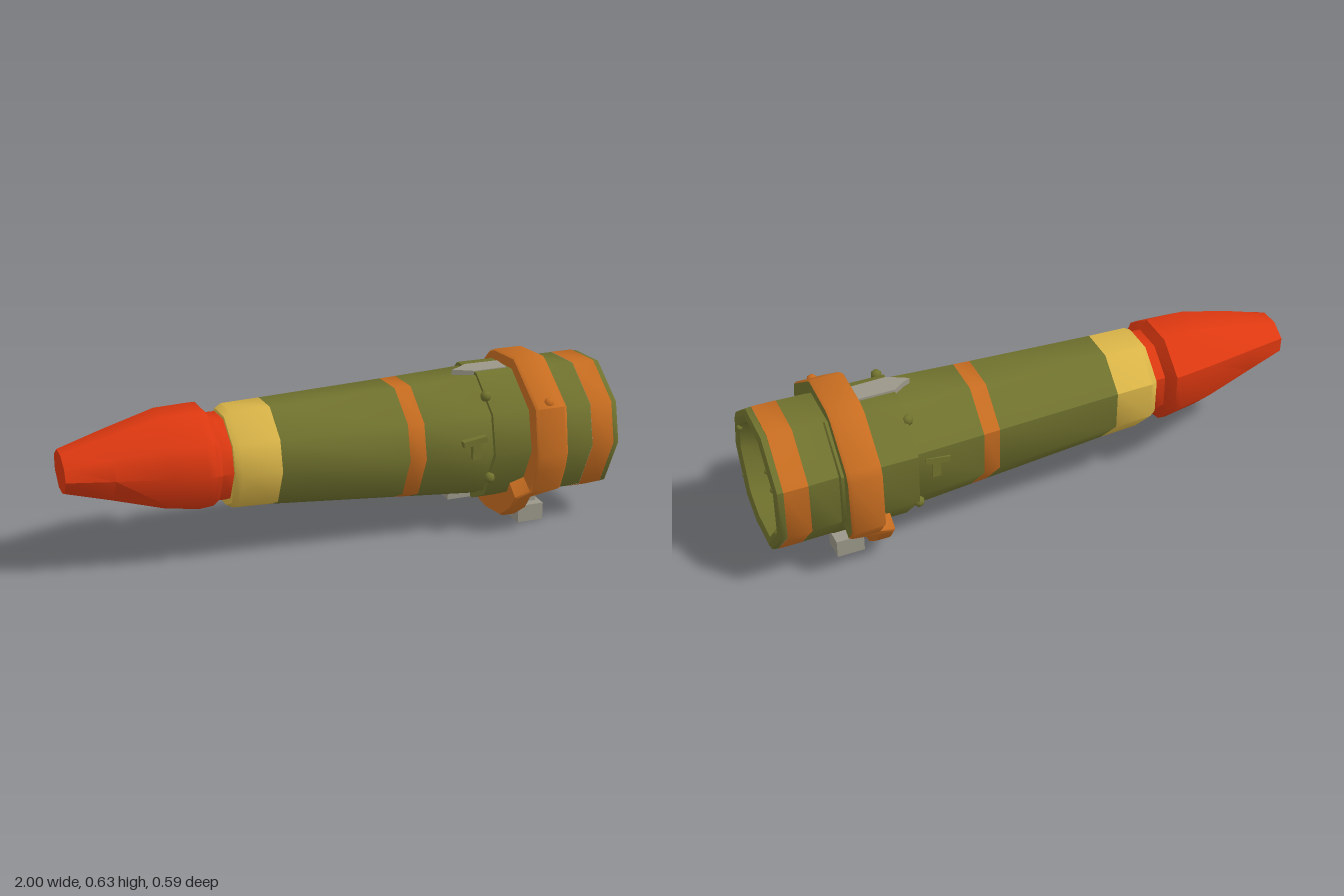
import * as THREE from 'three';
import { mergeVertices, toCreasedNormals } from 'three/addons/utils/BufferGeometryUtils.js';

const mat = (name, color) => {
  const m = new THREE.MeshStandardMaterial({ color });
  m.name = name;
  return m;
};

// Irregular nine-sided cross-section as [z, y], clockwise seen from +x
const SECTION = [[0.064, 0.585], [-0.105, 0.575], [-0.24, 0.44], [-0.235, 0.25], [-0.09, 0.094],
  [0.06, 0.098], [0.165, 0.15], [0.25, 0.33], [0.215, 0.475]];

// Section fitted to the given bounds at x
function ring(x, bottom, top, zMin, zMax) {
  return SECTION.map(([z, y]) => [x,
    bottom + (y - 0.094) / 0.491 * (top - bottom),
    zMin + (z + 0.24) / 0.49 * (zMax - zMin)]);
}

// Skin joining successive rings
function loft(rings, crease = 0.8) {
  const n = rings[0].length, index = [];
  for (let i = 0; i < rings.length - 1; i++) {
    for (let j = 0; j < n; j++) {
      const a = i * n + j, b = i * n + (j + 1) % n;
      index.push(a, a + n, b, b, a + n, b + n);
    }
  }
  const g = new THREE.BufferGeometry();
  g.setAttribute('position', new THREE.Float32BufferAttribute(rings.flat(2), 3));
  g.setIndex(index);
  return toCreasedNormals(mergeVertices(g), crease);
}

export function createModel() {
  const group = new THREE.Group();
  const olive = mat('olive', 0x70722e), orange = mat('orange', 0xc66c20), red = mat('red', 0xdc3810),
    yellow = mat('yellow', 0xd8b347), grey = mat('grey', 0x9a9688);

  const add = (name, geometry, material, x = 0, y = 0, z = 0) => {
    const m = new THREE.Mesh(geometry, material);
    m.name = name;
    m.position.set(x, y, z);
    group.add(m);
    return m;
  };
  const shell = (name, material, ...rows) => add(name, loft(rows.map(r => ring(...r))), material);

  // Red nose with a narrow neck
  shell('nose', red,
    [-1, 0.39, 0.39, 0, 0], [-1, 0.32, 0.46, -0.1, 0.1], [-0.84, 0.275, 0.505, -0.145, 0.14],
    [-0.65, 0.215, 0.553, -0.193, 0.168], [-0.53, 0.197, 0.556, -0.205, 0.18],
    [-0.5, 0.2, 0.555, -0.207, 0.178], [-0.475, 0.22, 0.52, -0.165, 0.155], [-0.43, 0.22, 0.52, -0.165, 0.155]);

  // Tapered barrel with painted bands
  const b1 = [-0.27, 0.18, 0.547, -0.195, 0.178], b2 = [0.19, 0.143, 0.563, -0.216, 0.202],
    b3 = [0.25, 0.138, 0.565, -0.219, 0.206];
  shell('yellowBand', yellow, [-0.44, 0.24, 0.5, -0.14, 0.13], [-0.435, 0.2, 0.53, -0.175, 0.165],
    [-0.41, 0.186, 0.543, -0.19, 0.174], b1);
  shell('barrelFront', olive, b1, b2);
  shell('barrelStripe', orange, b2, b3);
  shell('barrelRear', olive, b3, [0.5, 0.118, 0.576, -0.232, 0.222]);

  // Collar and end sleeve
  shell('collar', olive, [0.5, 0.15, 0.55, -0.2, 0.19], [0.5, 0.1, 0.588, -0.25, 0.24],
    [0.77, 0.1, 0.588, -0.25, 0.24], [0.775, 0.097, 0.587, -0.24, 0.24], [0.88, 0.095, 0.587, -0.243, 0.247]);
  shell('sleeveStripe', orange, [0.88, 0.094, 0.588, -0.244, 0.248], [0.965, 0.094, 0.588, -0.244, 0.248]);
  // Rim, funnel and floor of the open end
  shell('openEnd', olive, [0.965, 0.094, 0.587, -0.242, 0.248], [0.985, 0.097, 0.583, -0.24, 0.246],
    [0.994, 0.115, 0.565, -0.222, 0.228], [0.985, 0.14, 0.54, -0.198, 0.2],
    [0.84, 0.173, 0.5, -0.16, 0.155], [0.84, 0.335, 0.335, 0, 0]);

  // Large clamp ring; its lower part steps toward the nose
  const outline = [[0.064, 0.632], [-0.1, 0.618], [-0.143, 0.6], [-0.275, 0.475], [-0.29, 0.44], [-0.293, 0.235],
    [-0.25, 0.18], [-0.237, 0.155], [-0.2, 0.1], [-0.118, 0.035], [-0.02, 0.023], [0.105, 0.04], [0.19, 0.1],
    [0.228, 0.155], [0.245, 0.18], [0.28, 0.27], [0.293, 0.333], [0.264, 0.5], [0.09, 0.618]];
  const clampRow = (side, scaleTop, scaleLow, inset = 0) => outline.map(([z, y]) => {
    const low = y < 0.17, s = low ? scaleLow : scaleTop;
    const x = side < 0 ? (low ? 0.59 : 0.64) + inset : (low ? 0.66 : 0.76) - inset;
    return [x, 0.33 + (y - 0.33) * s, z * s];
  });
  const edge = clampRow(1, 0.98, 0.92);
  add('clampRing', loft([clampRow(-1, 0.72, 0.72), clampRow(-1, 0.98, 0.98), clampRow(-1, 1, 1, 0.01),
    clampRow(1, 1, 1, 0.012), edge]), orange);
  add('clampRingFace', loft([edge, clampRow(1, 0.72, 0.72)]), olive);
  add('clampLug', new THREE.SphereGeometry(0.02, 8, 6), orange, 0.7, 0.51, 0.238);

  // Pair of grey feet with a stem
  for (const z of [0.0625, -0.0715]) add('foot', new THREE.BoxGeometry(0.1, 0.065, 0.085), grey, 0.715, 0.0345, z);
  add('footStem', new THREE.BoxGeometry(0.07, 0.05, 0.022), grey, 0.715, 0.085, 0.06);

  // Wedge-shaped grey latch on top, small plate beneath
  const wedge = new THREE.Shape([[0.43, 0.005], [0.5, -0.035], [0.63, -0.03], [0.63, 0.05], [0.5, 0.05], [0.46, 0.02]]
    .map(([x, z]) => new THREE.Vector2(x, z)));
  const latch = add('topLatch', new THREE.ExtrudeGeometry(wedge, { depth: 0.04, bevelEnabled: false }), grey, 0, 0.55, 0);
  latch.rotation.x = -Math.PI / 2;
  add('lowerPlate', new THREE.BoxGeometry(0.09, 0.03, 0.05), grey, 0.45, 0.122, 0.02);

  // Side catches and studs along the collar edge
  for (const side of [1, -1]) {
    const arm = add('sideCatch', new THREE.BoxGeometry(0.09, 0.022, 0.025), olive, 0.425, 0.395, side * 0.22);
    arm.rotation.z = 0.15;
    add('sideCatchHook', new THREE.BoxGeometry(0.03, 0.07, 0.025), olive, 0.43, 0.365, side * 0.22);
  }
  for (const [y, z] of [[0.53, 0.145], [0.24, 0.2], [0.53, -0.15], [0.24, -0.225]]) {
    add('collarStud', new THREE.SphereGeometry(0.02, 8, 6), olive, 0.497, y, z);
  }

  // Small rivets on the funnel
  for (const [y, z] of [[0.47, -0.148], [0.425, -0.193], [0.24, -0.187], [0.43, 0.18], [0.23, 0.18]]) {
    add('rivet', new THREE.SphereGeometry(0.011, 8, 6), olive, 0.985, y, z);
  }
  return group;
}
